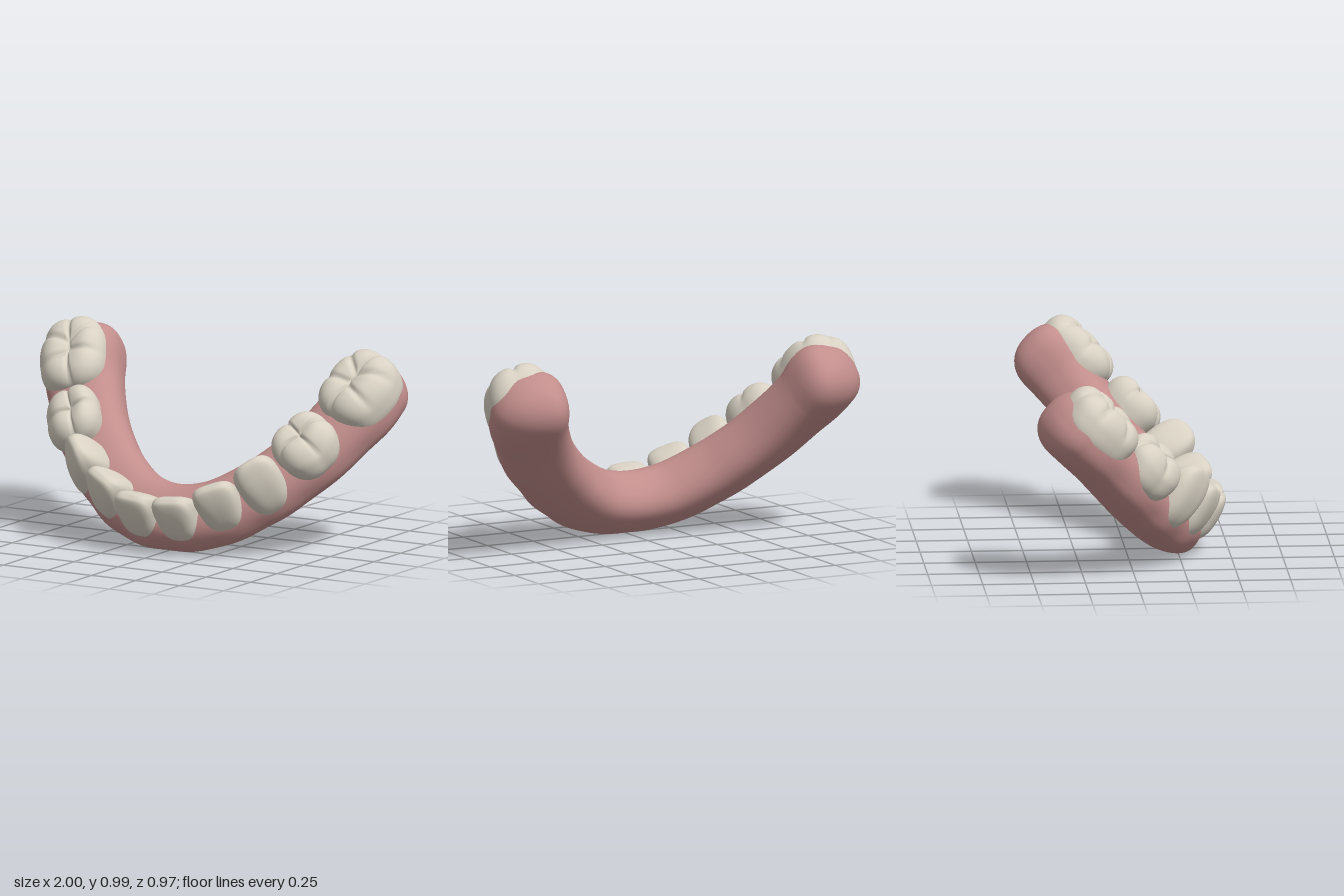
import * as THREE from 'three';
import { mergeVertices } from 'three/addons/utils/BufferGeometryUtils.js';

const lerp = THREE.MathUtils.lerp;

// Point on a unit superellipse at a given angle: [cos-like, sin-like]
function squircle(angle, n) {
  const c = Math.cos(angle), s = Math.sin(angle);
  const k = Math.pow(Math.abs(c) ** n + Math.abs(s) ** n, -1 / n);
  return [c * k, s * k];
}

// Closed skin from rows of rings: point(row, angle) returns [x, y, z]
function skin(point, rows, segments) {
  const pos = [], index = [];
  for (let i = 0; i <= rows; i++)
    for (let j = 0; j < segments; j++) pos.push(...point(i, (j / segments) * Math.PI * 2));
  for (let i = 0; i < rows; i++)
    for (let j = 0; j < segments; j++) {
      const k = (j + 1) % segments;
      const a = i * segments + j, d = i * segments + k;
      const b = a + segments, c = d + segments;
      if (i < rows - 1) index.push(a, b, c);
      if (i > 0) index.push(a, c, d);
    }
  let g = new THREE.BufferGeometry();
  g.setAttribute('position', new THREE.Float32BufferAttribute(pos, 3));
  g.setIndex(index);
  g = mergeVertices(g, 1e-5);
  g.computeVertexNormals();
  return g;
}

function mirrorX(geometry) {
  const g = geometry.clone();
  const p = g.attributes.position, idx = g.index.array;
  for (let i = 0; i < p.count; i++) p.setX(i, -p.getX(i));
  for (let i = 0; i < idx.length; i += 3) [idx[i + 1], idx[i + 2]] = [idx[i + 2], idx[i + 1]];
  g.computeVertexNormals();
  return g;
}

// One side of the arch; x along the jaw, z towards the cheek, yaw in degrees.
// crown and root set how square the upper and lower halves are, tilt drops the cheek side.
const TEETH = [
  { name: 'centralIncisor', x: 0.106, z: 0.098, yaw: 6, w: 0.216, d: 0.235, bottom: 0.22, top: 0.522,
    neck: 0.86, edge: 0.3, lean: 0.018, crown: 4, root: 2.3, tilt: 0 },
  { name: 'lateralIncisor', x: 0.306, z: 0.012, yaw: 28, w: 0.23, d: 0.24, bottom: 0.21, top: 0.54,
    neck: 0.84, edge: 0.32, lean: 0.014, crown: 3.6, root: 2.3, tilt: 0 },
  { name: 'canine', x: 0.49, z: -0.12, yaw: 47, w: 0.245, d: 0.245, bottom: 0.21, top: 0.58,
    neck: 0.84, edge: 0.38, lean: 0.004, crown: 2.6, root: 2.3, tilt: 0 },
  { name: 'premolar', x: 0.658, z: -0.35, yaw: 62, w: 0.335, d: 0.285, bottom: 0.29, top: 0.548,
    neck: 0.86, edge: 0.92, lean: -0.012, crown: 2.8, root: 2.6, tilt: 0.02,
    cusps: [[-0.45, 0.5], [0.42, 0.52], [-0.4, -0.5], [0.48, -0.48]], amp: 0.05 },
  { name: 'molar', x: 0.812, z: -0.705, yaw: 72, w: 0.425, d: 0.355, bottom: 0.27, top: 0.548,
    neck: 0.9, edge: 0.92, lean: -0.01, crown: 2.9, root: 2.7, tilt: 0.006,
    cusps: [[-0.62, 0.48], [0.02, 0.62], [0.62, 0.4], [-0.48, -0.52], [0.15, -0.6], [0.68, -0.3]],
    amp: 0.045 },
];

function toothGeometry(t) {
  const rows = 48, mid = (t.top + t.bottom) / 2, half = (t.top - t.bottom) / 2;
  // Nearest and second nearest cusp give domes with a groove between them
  const domes = (x, z) => t.cusps
    .map(([cx, cz]) => 1 - 1.1 * ((x - cx) ** 2 + (z - cz) ** 2))
    .sort((a, b) => b - a);
  const g = skin((i, angle) => {
    const [up, ring] = squircle((i / rows) * Math.PI, i < rows / 2 ? t.crown : t.root);
    const [cz, cx] = squircle(angle, t.cusps ? 2.6 : 2.9);
    let x = cx * Math.max(ring, 0), z = cz * Math.max(ring, 0);
    let y = mid + up * half - t.tilt * z * Math.max(0, up);
    const h = (up + 1) / 2;
    if (t.cusps) {
      const [f1, f2] = domes(x, z);
      const crease = Math.exp(-(((f1 - f2) / 0.1) ** 2));
      const fossa = Math.exp(-(x * x + z * z) / 0.2);
      y += THREE.MathUtils.smoothstep(up, 0, 0.85)
        * (t.amp * (f1 - 1) - 0.014 * crease - 0.015 * fossa);
      const [r1, r2] = domes(cx, cz);
      const pinch = 1 - 0.04 * h * ring * Math.exp(-(((r1 - r2) / 0.35) ** 2));
      x *= pinch;
      z *= pinch;
    }
    return [
      x * lerp(t.neck, 1, h) * t.w / 2,
      y,
      z * lerp(1, t.edge, h * h) * t.d / 2 + t.lean * (2 * h - 1),
    ];
  }, rows, 72);
  g.rotateY(THREE.MathUtils.degToRad(t.yaw));
  g.translate(t.x, 0, t.z);
  return g;
}

// Gum: x, z of the ridge centre, then half width, underside and crest height
const GUM = [
  [0, 0.028, 0.165, 0.098, 0.38],
  [0.2, -0.012, 0.167, 0.095, 0.385],
  [0.4, -0.145, 0.168, 0.105, 0.4],
  [0.53, -0.277, 0.17, 0.117, 0.41],
  [0.635, -0.41, 0.174, 0.133, 0.43],
  [0.72, -0.55, 0.18, 0.147, 0.445],
  [0.78, -0.67, 0.186, 0.15, 0.47],
  [0.805, -0.76, 0.183, 0.15, 0.495],
];

function gumGeometry() {
  const stations = [...GUM.slice(1).reverse().map(([x, ...r]) => [-x, ...r]), ...GUM];
  const path = new THREE.CatmullRomCurve3(stations.map(s => new THREE.Vector3(s[0], 0, s[1])));
  const size = new THREE.CatmullRomCurve3(stations.map(s => new THREE.Vector3(s[2], s[3], s[4])));
  const cap = 14, core = 130, capLength = 0.182;
  return skin((i, angle) => {
    const u = THREE.MathUtils.clamp((i - cap) / core, 0, 1);
    const over = i < cap ? i - cap : Math.max(0, i - cap - core);
    const [shrink, reach] = squircle((Math.abs(over) / cap) * Math.PI / 2, 2.2);
    const p = path.getPoint(u), T = path.getTangent(u), s = size.getPoint(u);
    p.addScaledVector(T, Math.sign(over) * reach * capLength);
    // The rounded end turns slightly towards the tongue
    p.x -= Math.sign(over) * 0.035 * reach * reach;
    const [out, up] = squircle(angle, 2.4);
    const k = Math.max(0, shrink);
    // Soft root bulges on the cheek side, with raised gum between the teeth
    let bulge = 0;
    for (const t of TEETH)
      bulge += Math.exp(-((Math.hypot(Math.abs(p.x) - t.x, p.z - t.z + 0.05) / (t.w * 0.4)) ** 2));
    const cheek = Math.max(0, out) * k, crest = Math.max(0, up);
    const w = out * s.x * k + cheek * (0.014 * bulge * (1 - crest) + 0.02 * Math.max(0, 1 - bulge) * crest);
    let y = (s.y + s.z) / 2 + up * k * (s.z - s.y) / 2;
    // The underside hangs lower on the tongue side
    y += 0.2 * w * Math.max(0, -up);
    return [p.x - T.z * w, y, p.z + T.x * w];
  }, core + 2 * cap, 56);
}

export function createModel() {
  const gumPink = new THREE.MeshStandardMaterial({ color: 0xc28e8c });
  gumPink.name = 'gumPink';
  const enamel = new THREE.MeshStandardMaterial({ color: 0xd8d1c3 });
  enamel.name = 'enamel';

  const jaw = new THREE.Group();
  jaw.name = 'lowerJaw';
  const add = (name, geometry, material) => {
    const m = new THREE.Mesh(geometry, material);
    m.name = name;
    jaw.add(m);
  };

  add('gum', gumGeometry(), gumPink);
  for (const t of TEETH) {
    const g = toothGeometry(t);
    add(t.name + 'Left', g, enamel);
    add(t.name + 'Right', mirrorX(g), enamel);
  }

  // Tip the arch so the back teeth stand high, then rest it on the floor
  jaw.rotation.x = Math.PI / 4;
  const model = new THREE.Group();
  model.name = 'dentalArch';
  model.add(jaw);
  const box = new THREE.Box3().setFromObject(model, true);
  jaw.position.set(0, -box.min.y, -(box.min.z + box.max.z) / 2);
  return model;
}
